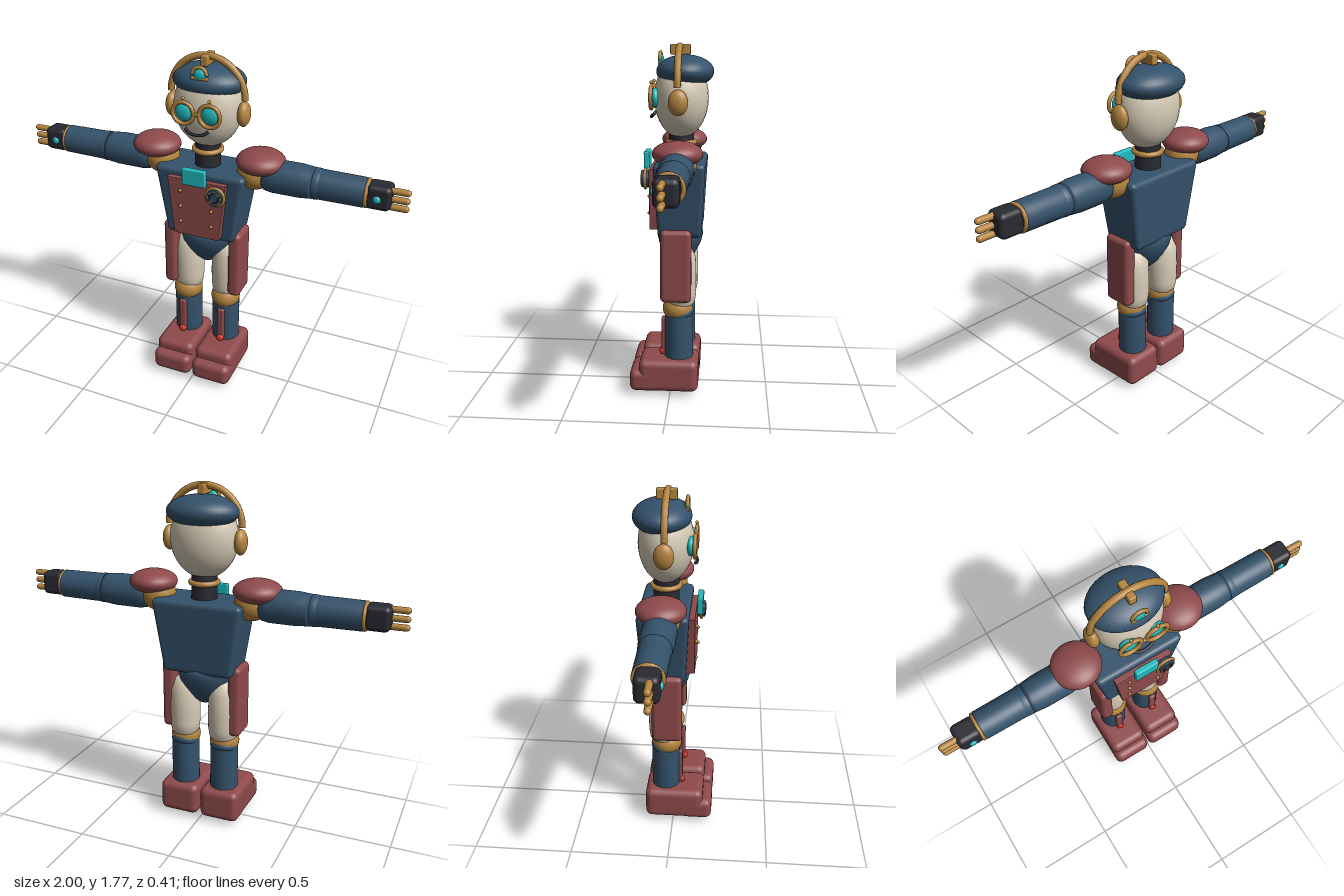
import * as THREE from 'three';
import { RoundedBoxGeometry } from 'three/addons/geometries/RoundedBoxGeometry.js';

const paint = (name, color) => {
  const m = new THREE.MeshStandardMaterial({ color });
  m.name = name;
  return m;
};

export function createModel() {
  const navy = paint('navy', 0x34526b), red = paint('brickRed', 0x8f4a4c);
  const gold = paint('brass', 0xb5853f), cream = paint('cream', 0xd6cbb6);
  const dark = paint('charcoal', 0x292932), cyan = paint('cyan', 0x20bcc0);
  const bright = paint('brightRed', 0xd8342a);
  const model = new THREE.Group();
  model.name = 'robot';
  const Z = -0.045; // body axis

  // Helpers
  const add = (name, geo, mat, x, y, z, parent = model) => {
    const m = new THREE.Mesh(geo, mat);
    m.name = name;
    m.position.set(x, y, z);
    parent.add(m);
    return m;
  };
  const ball = (rx, ry = rx, rz = rx) => new THREE.SphereGeometry(1, 32, 20).scale(rx, ry, rz);
  const box = (w, h, d, r = 0.01) => new RoundedBoxGeometry(w, h, d, 3, r);
  const ring = (r, tube, arc = Math.PI * 2) => new THREE.TorusGeometry(r, tube, 10, 40, arc);
  const disc = (r, h) => new THREE.CylinderGeometry(r, r, h, 32).rotateX(Math.PI / 2);
  const lathe = (pts) => new THREE.LatheGeometry(pts.map(p => new THREE.Vector2(...p)), 32);
  // Scale x and z linearly between the bottom and the top
  const taper = (geo, h, sx, sz) => {
    const p = geo.attributes.position;
    for (let i = 0; i < p.count; i++) {
      const t = 0.5 - p.getY(i) / h;
      p.setX(i, p.getX(i) * (1 + (sx - 1) * t));
      p.setZ(i, p.getZ(i) * (1 + (sz - 1) * t));
    }
    geo.computeVertexNormals();
    return geo;
  };

  // Head, cap and headband
  add('head', ball(0.172, 0.2, 0.135), cream, 0, 1.51, Z);
  add('cap', ball(0.182, 0.08, 0.142), navy, 0, 1.637, -0.063);
  add('headband', ring(0.19, 0.017, Math.PI), gold, 0, 1.567, -0.037);
  add('headbandClip', box(0.036, 0.05, 0.1, 0.006), gold, 0, 1.742, -0.04);
  add('capBadge', ball(0.03, 0.03, 0.015), cyan, 0, 1.69, 0.055);
  add('capBadgeArch', ring(0.036, 0.009, Math.PI), gold, 0, 1.692, 0.058);
  add('capBadgeBase', box(0.085, 0.014, 0.018, 0.005), gold, 0, 1.675, 0.058);

  // Face
  const smile = new THREE.CatmullRomCurve3([[-0.06, 1.433, 0.088], [-0.035, 1.419, 0.1],
    [0, 1.414, 0.104], [0.035, 1.419, 0.1], [0.06, 1.433, 0.088]].map(p => new THREE.Vector3(...p)));
  add('mouth', new THREE.TubeGeometry(smile, 20, 0.008, 8), dark, 0, 0, 0);
  add('goggleBridge', box(0.04, 0.016, 0.016, 0.005), gold, 0, 1.515, 0.1);

  // Neck
  add('neck', new THREE.CylinderGeometry(0.063, 0.066, 0.15, 32), dark, 0, 1.255, Z);
  add('neckRing', ring(0.066, 0.014).rotateX(Math.PI / 2), gold, 0, 1.29, Z);

  // Torso, chest plate and pelvis
  add('torso', taper(box(0.475, 0.375, 0.255, 0.025), 0.375, 0.76, 0.84), navy, 0, 1.0225, -0.047);
  const plate = new THREE.Shape([[-0.117, 0.868], [0.117, 0.868], [0.15, 1.17], [-0.15, 1.17]]
    .map(p => new THREE.Vector2(...p)));
  add('chestPlate', new THREE.ExtrudeGeometry(plate, { depth: 0.05, bevelSize: 0.004, bevelThickness: 0.004, bevelSegments: 2 }),
    red, 0, 0, 0.052);
  add('collarLight', box(0.122, 0.085, 0.028, 0.006), cyan, 0, 1.203, 0.125);
  add('pelvis', lathe([[0, 0.65], [0.03, 0.655], [0.06, 0.68], [0.095, 0.72], [0.13, 0.775], [0.142, 0.82], [0.138, 0.86], [0, 0.87]])
    .scale(1, 1, 0.83), navy, 0, 0, -0.04);

  // Chest dial
  const dial = new THREE.Group();
  dial.name = 'chestDial';
  dial.position.set(0.11, 1.12, 0.125);
  model.add(dial);
  add('dialRim', ring(0.046, 0.008), gold, 0, 0, 0, dial);
  add('dialFace', disc(0.042, 0.036), navy, 0, 0, 0, dial);
  add('dialRing', ring(0.024, 0.005), dark, 0, 0, 0.018, dial);
  for (let i = 0; i < 8; i++) {
    const a = i * Math.PI / 4;
    add('dialStud', ball(0.005), gold, 0.033 * Math.cos(a), 0.033 * Math.sin(a), 0.018, dial);
  }

  for (const s of [-1, 1]) {
    // Ear and goggle
    add('ear', ball(0.032, 0.062, 0.048), gold, s * 0.185, 1.497, -0.04);
    add('goggleRim', ring(0.053, 0.01), gold, s * 0.067, 1.513, 0.098);
    add('goggleLens', ball(0.047, 0.047, 0.025), cyan, s * 0.067, 1.513, 0.078);
    add('goggleStud', ball(0.009), gold, s * 0.067, 1.586, 0.098);

    // Chest rivets
    for (const y of [1.11, 1.025, 0.94]) add('chestRivet', ball(0.009), gold, s * 0.083, y, 0.11);

    // Arm
    add('shoulderJoint', ball(0.088), gold, s * 0.25, 1.208, Z);
    add('shoulderPad', ball(0.122, 0.06, 0.12), red, s * 0.278, 1.27, Z);
    const arm = new THREE.Group();
    arm.name = 'arm';
    arm.position.set(s * 0.28, 1.205, Z);
    arm.rotation.z = -s * Math.PI / 2;
    model.add(arm);
    add('upperArm', lathe([[0, -0.02], [0.05, 0], [0.076, 0.03], [0.083, 0.07], [0.083, 0.2], [0.078, 0.25], [0.076, 0.27], [0, 0.275]]), navy, 0, 0, 0, arm);
    add('elbow', ball(0.077), navy, 0, 0.28, 0, arm);
    add('forearm', lathe([[0, 0.28], [0.068, 0.28], [0.074, 0.295], [0.072, 0.51], [0.066, 0.522], [0, 0.522]]), navy, 0, 0, 0, arm);
    add('wristRing', ring(0.062, 0.01).rotateX(Math.PI / 2), gold, 0, 0.522, 0, arm);
    add('hand', box(0.12, 0.12, 0.108, 0.025), dark, s * 0.858, 1.207, -0.042);
    add('handLight', ball(0.019, 0.019, 0.012), cyan, s * 0.855, 1.205, 0.012);
    for (const y of [1.246, 1.205, 1.165])
      add('finger', new THREE.CapsuleGeometry(0.016, 0.1, 6, 14).rotateZ(Math.PI / 2), gold, s * 0.934, y, -0.028);

    // Leg
    add('hipPlate', box(0.068, 0.372, 0.155, 0.024), red, s * 0.18, 0.692, -0.03);
    add('thigh', lathe([[0, 0.46], [0.055, 0.465], [0.073, 0.485], [0.079, 0.53], [0.08, 0.62], [0.076, 0.72], [0.05, 0.78], [0, 0.79]]), cream, s * 0.108, 0, -0.05);
    add('knee', ball(0.077, 0.07, 0.077), gold, s * 0.11, 0.452, -0.036);
    const shinCap = add('shinCap', ball(0.072, 0.04, 0.07), navy, s * 0.11, 0.425, -0.05);
    shinCap.rotation.x = 0.3;
    add('shin', lathe([[0, 0.17], [0.07, 0.17], [0.073, 0.185], [0.073, 0.415], [0.068, 0.428], [0, 0.43]]), navy, s * 0.11, 0, -0.042);
    add('shinStripe', box(0.038, 0.2, 0.03, 0.008), red, s * 0.112, 0.3, 0.032);
    add('shinLight', ball(0.021, 0.021, 0.015), bright, s * 0.112, 0.215, 0.044);

    // Boot
    add('boot', box(0.213, 0.17, 0.305, 0.035), red, s * 0.113, 0.108, 0.007);
    add('bootToe', box(0.215, 0.116, 0.16, 0.035), red, s * 0.113, 0.08, 0.127);
    add('soleStud', ball(0.042, 0.016, 0.018), gold, s * 0.112, 0.016, 0.125);
  }
  return model;
}
